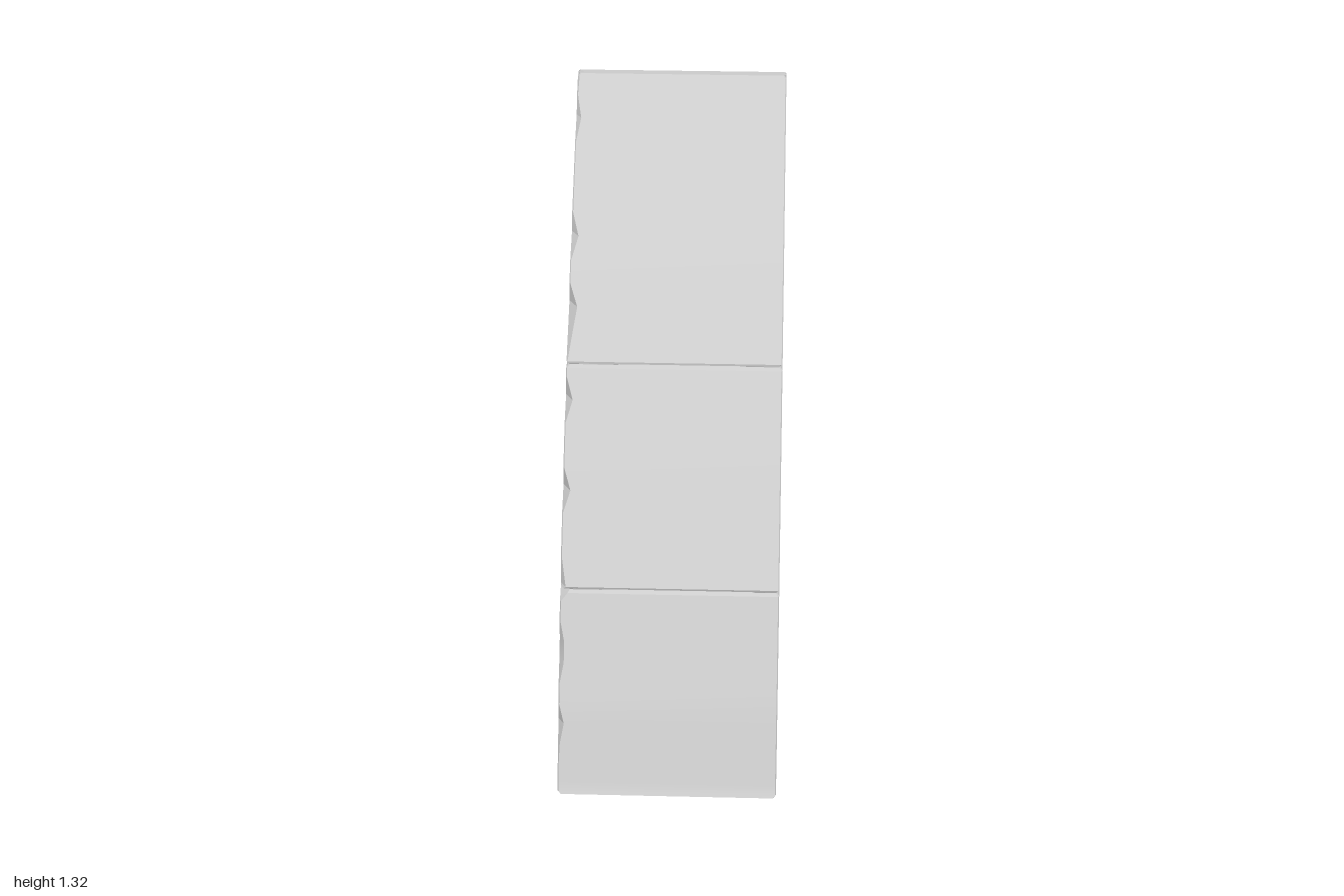
import * as THREE from 'three';
import { toCreasedNormals } from 'three/addons/utils/BufferGeometryUtils.js';

// Leg profile as [height, z] curves: outer face, edge of the flat side, underside
const OUTER = [[0, 1.004], [0.2, 0.922], [0.42, 0.807], [0.62, 0.666], [0.82, 0.513], [1.02, 0.325], [1.17, 0.167], [1.32, 0.012]];
const SIDE = [[0, 0.535], [0.06, 0.537], [0.14, 0.52], [0.28, 0.43], [0.42, 0.315], [0.82, 0.007]];
const UNDER = [[0, 0.5], [0.2, 0.25], [0.24, 0.24], [0.34, 0.165], [0.42, 0.11], [0.56, 0]];
// Half width of the underside as [height, x]
const UNDER_HALF = [[0, 0.17], [0.2, 0.188], [0.42, 0.168], [0.56, 0.155], [0.7, 0.185], [0.82, 0.232]];
const HALF = 0.24;

function sample(curve, y) {
  for (let i = 1; i < curve.length; i++) {
    const [y0, v0] = curve[i - 1], [y1, v1] = curve[i];
    if (y <= y1) return v0 + (v1 - v0) * (y - y0) / (y1 - y0);
  }
  return curve[curve.length - 1][1];
}

// Seeded noise for the worn edges
function seeded(seed) {
  return () => {
    seed = (seed * 16807) % 2147483647;
    return seed / 2147483647;
  };
}

// Horizontal outline of a block: worn outer corners, flat sides, scooped bevel, underside
function outline(y, inset, chipR, chipL) {
  const h = HALF - inset;
  const zo = sample(OUTER, y) - inset;
  const zs = Math.min(sample(SIDE, y), zo);
  const zi = Math.min(sample(UNDER, y), zs);
  const hi = sample(UNDER_HALF, y) - inset;
  const zm = zs + (zi - zs) * 0.35, hm = h + (hi - h) * 0.55;
  const limit = (zo - zs) * 0.5;
  const cr = Math.min(chipR, limit), cl = Math.min(chipL, limit);
  return [
    [-h, zo - cr], [-h + cr * 0.6, zo], [h - cl * 0.6, zo], [h, zo - cl],
    [h, zs], [hm, zm], [hi, zi], [-hi, zi], [-hm, zm], [-h, zs],
  ].map(([x, z]) => [x, y < 0.001 ? 0.015 * (z - 0.5) / 0.5 : y, z]);
}

// Hollow stone course lofted between two heights, closed on top if capped
function blockGeometry(y0, y1, capped, wornR, wornL, seed) {
  const rand = seeded(seed);
  const chip = (worn) => 0.004 + (worn && rand() > 0.7 ? 0.03 * rand() : 0);
  const e = 0.005;
  const levels = [[y0, e], [y0 === 0 ? 0.02 : y0 + e, 0]];
  for (let k = Math.ceil((y0 + 0.025) / 0.04); k * 0.04 < y1 - 0.015; k++) levels.push([k * 0.04, 0]);
  levels.push([y1 - e, 0], [y1, e]);
  const rings = levels.map(([y, inset]) => outline(y, inset, chip(wornR), chip(wornL)));
  const n = rings[0].length;
  const idx = [];
  for (let k = 0; k < rings.length - 1; k++) {
    for (let i = 0; i < n; i++) {
      const a = k * n + i, b = k * n + (i + 1) % n;
      idx.push(a, b, b + n, a, b + n, a + n);
    }
  }
  if (capped) {
    const top = (rings.length - 1) * n;
    for (let i = 1; i < n - 1; i++) idx.push(top, top + i, top + i + 1);
  }
  const g = new THREE.BufferGeometry();
  g.setAttribute('position', new THREE.Float32BufferAttribute(rings.flat(2), 3));
  g.setIndex(idx);
  return toCreasedNormals(g, 0.28);
}

export function createModel() {
  const arch = new THREE.Group();
  arch.name = 'stoneArch';
  // The legs are open shells underneath
  const stone = new THREE.MeshStandardMaterial({ color: 0xcccccc, side: THREE.DoubleSide });

  const blocks = [
    ['footBlock', 0, 0.421, false],
    ['middleBlock', 0.422, 0.822, false],
    ['keystoneHalf', 0.823, 1.316, true],
  ];
  // The back leg is the front leg turned half round, worn on both edges
  ['frontLeg', 'backLeg'].forEach((legName, l) => {
    const leg = new THREE.Group();
    leg.name = legName;
    blocks.forEach(([name, y0, y1, capped], b) => {
      const geometry = blockGeometry(y0, y1, capped, true, l === 1, 101 + 977 * (l * 3 + b));
      const mesh = new THREE.Mesh(geometry, stone);
      mesh.name = name;
      leg.add(mesh);
    });
    leg.rotation.y = l * Math.PI;
    arch.add(leg);
  });
  return arch;
}
